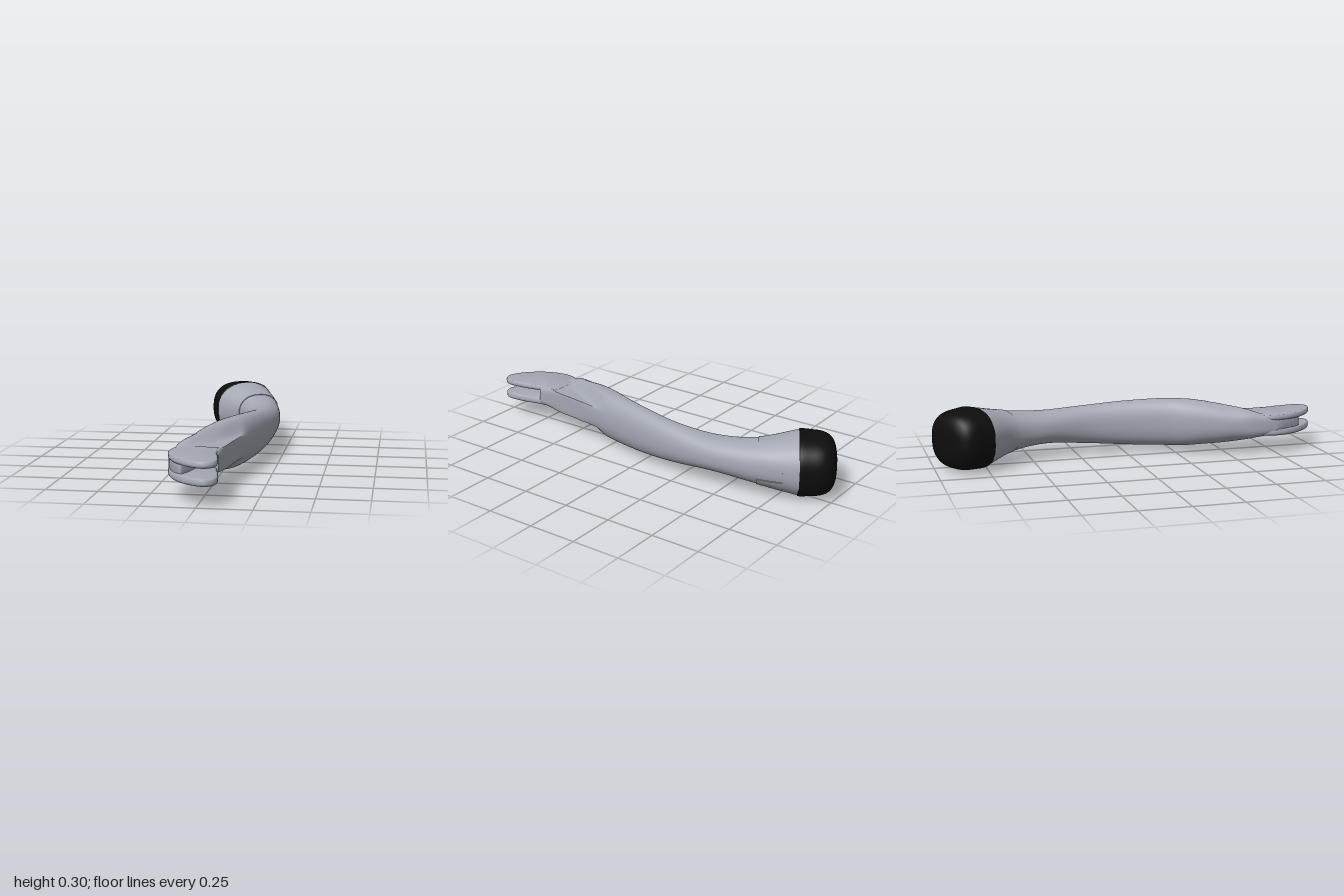
import * as THREE from 'three';
import { toCreasedNormals } from 'three/addons/utils/BufferGeometryUtils.js';

// Cross-sections from head to tip: left x,z / right x,z / bottom y, top y
const STATIONS = [
  [-0.165, -0.72, 0.12, -0.89, 0.005, 0.295],
  [-0.03, -0.58, 0.178, -0.69, 0.045, 0.255],
  [0.03, -0.4, 0.21, -0.46, 0.066, 0.235],
  [0.06, -0.2, 0.206, -0.2, 0.05, 0.247],
  [0.04, 0, 0.18, 0, 0.036, 0.264],
  [-0.015, 0.2, 0.145, 0.2, 0.03, 0.275],
  [-0.06, 0.3, 0.125, 0.3, 0.03, 0.274],
  [-0.1, 0.4, 0.105, 0.4, 0.04, 0.265],
  [-0.135, 0.5, 0.088, 0.5, 0.05, 0.25],
  [-0.16, 0.6, 0.075, 0.6, 0.065, 0.235],
  [-0.168, 0.68, 0.063, 0.68, 0.082, 0.212],
  [-0.168, 0.75, 0.062, 0.75, 0.092, 0.203],
];
const leftEdge = new THREE.CatmullRomCurve3(STATIONS.map(s => new THREE.Vector3(s[0], s[4], s[1])));
const rightEdge = new THREE.CatmullRomCurve3(STATIONS.map(s => new THREE.Vector3(s[2], s[5], s[3])));

const smooth = THREE.MathUtils.smoothstep;
const lerp = THREE.MathUtils.lerp;
const spow = (v, n) => Math.sign(v) * Math.pow(Math.abs(v), 2 / n);

// Closed rings joined lengthwise; optional flat end caps
function loft(point, rows, sides, capped) {
  const pos = [], index = [];
  for (let i = 0; i <= rows; i++) {
    for (let j = 0; j < sides; j++) pos.push(...point(i / rows, (j / sides) * Math.PI * 2));
  }
  for (let i = 0; i < rows; i++) {
    for (let j = 0; j < sides; j++) {
      const a = i * sides + j, b = i * sides + (j + 1) % sides;
      index.push(a, b, a + sides, b, b + sides, a + sides);
    }
  }
  if (capped) {
    const base = rows * sides, start = pos.length / 3;
    const c = [0, 0, 0];
    for (let j = 0; j < sides; j++) {
      const p = pos.slice((base + j) * 3, (base + j) * 3 + 3);
      pos.push(...p);
      p.forEach((v, k) => { c[k] += v / sides; });
    }
    pos.push(...c);
    for (let j = 0; j < sides; j++) index.push(start + j, start + (j + 1) % sides, start + sides);
  }
  const g = new THREE.BufferGeometry();
  g.setAttribute('position', new THREE.Float32BufferAttribute(pos, 3));
  g.setIndex(index);
  g.computeVertexNormals();
  return g;
}

// Rounded grip section, scooped down to a flat slab on the +x side near the tip
function gripPoint(u, t, scale = 1) {
  const l = leftEdge.getPoint(u), r = rightEdge.getPoint(u);
  const zMid = (l.z + r.z) / 2;
  const c = Math.cos(t), s = Math.sin(t);
  const blend = smooth(c, -0.5, 0.5);
  const nLeft = 2.3 + 1.7 * smooth(zMid, 0.5, 0.75);
  const nRight = 2.3 + 2.7 * smooth(zMid, 0.3, 0.6);
  const n = lerp(nLeft, nRight, blend);
  const f = 0.5 + 0.5 * spow(c, n) * scale;
  const x = lerp(l.x, r.x, f), z = lerp(l.z, r.z, f);
  let y = (l.y + r.y) / 2 + (r.y - l.y) / 2 * spow(s, n) * scale;
  const ridge = 0.1 - (zMid - 0.27) * 0.595;
  const cut = smooth(x - ridge, -0.02, 0.06) * smooth(zMid, 0.22, 0.36);
  const flat = THREE.MathUtils.clamp(y, 0.09, 0.2);
  y = lerp(y, flat, cut);
  return [x, y, z];
}

// Collar sleeve whose front seam steps back around a tab on the +x side
function collarPoint(v, t) {
  const a = Math.abs(Math.atan2(Math.sin(t), Math.cos(t)));
  const end = lerp(0.035, 0.091, smooth(a, 0.32, 0.42));
  const u = end * Math.min(1, v / 0.9);
  return gripPoint(u, t, v > 0.95 ? 0.98 : 1.03);
}

// Rubber end cap on the tilted head axis
const CAP = new THREE.SplineCurve([
  [0.18, 0], [0.178, 0.06], [0.168, 0.105], [0.145, 0.14], [0.105, 0.159],
  [0.05, 0.165], [0.0, 0.167], [-0.004, 0.15],
].map(p => new THREE.Vector2(...p)));
function capPoint(u, t) {
  const p = CAP.getPoint(u);
  const side = spow(Math.cos(t), 2.5) * Math.max(0, p.y);
  const up = spow(Math.sin(t), 2.5) * Math.max(0, p.y) * 0.9;
  return [-0.022 - 0.51 * p.x + 0.86 * side, 0.15 + up, -0.805 - 0.86 * p.x - 0.51 * side];
}

// Flat plate from an x,z outline between two heights
function plate(points, y0, y1, bevel) {
  const pts = new THREE.SplineCurve(points.map(p => new THREE.Vector2(...p))).getPoints(48);
  const g = new THREE.ExtrudeGeometry(new THREE.Shape(pts), {
    depth: y1 - y0 - 2 * bevel, bevelEnabled: true, bevelThickness: bevel,
    bevelSize: bevel, bevelOffset: -bevel, bevelSegments: 4,
  });
  g.rotateX(Math.PI / 2);
  g.translate(0, y1 - bevel, 0);
  return toCreasedNormals(g, 0.7);
}

export function createModel() {
  const grey = new THREE.MeshStandardMaterial({ color: 0xa4a8b3 });
  grey.name = 'satinGrey';
  const black = new THREE.MeshStandardMaterial({ color: 0x0d0d0d });
  black.name = 'blackRubber';

  const group = new THREE.Group();
  group.name = 'curvedHandle';
  const add = (name, geometry, material) => {
    const mesh = new THREE.Mesh(geometry, material);
    mesh.name = name;
    group.add(mesh);
  };

  // Main curved grip and head
  add('grip', loft((u, t) => gripPoint(u, t), 140, 80, true), grey);
  add('collar', loft(collarPoint, 20, 120, false), grey);
  add('endCap', loft(capPoint, 32, 64, false), black);

  // Forked tip: two prongs with a web closing the slot on the -x side
  const prong = [
    [0.05, 0.64], [0.055, 0.75], [0.076, 0.85], [0.085, 0.94], [0.066, 0.985], [0.02, 1],
    [-0.06, 0.955], [-0.13, 0.87], [-0.166, 0.77], [-0.164, 0.7], [-0.14, 0.64],
  ];
  add('upperProng', plate(prong, 0.172, 0.203, 0.012), grey);
  add('lowerProng', plate(prong, 0.092, 0.127, 0.012), grey);
  const web = [
    [-0.02, 0.7], [-0.04, 0.78], [-0.06, 0.86], [-0.085, 0.9],
    [-0.125, 0.86], [-0.16, 0.77], [-0.16, 0.7],
  ];
  add('slotWeb', plate(web, 0.11, 0.19, 0.004), grey);

  return group;
}
